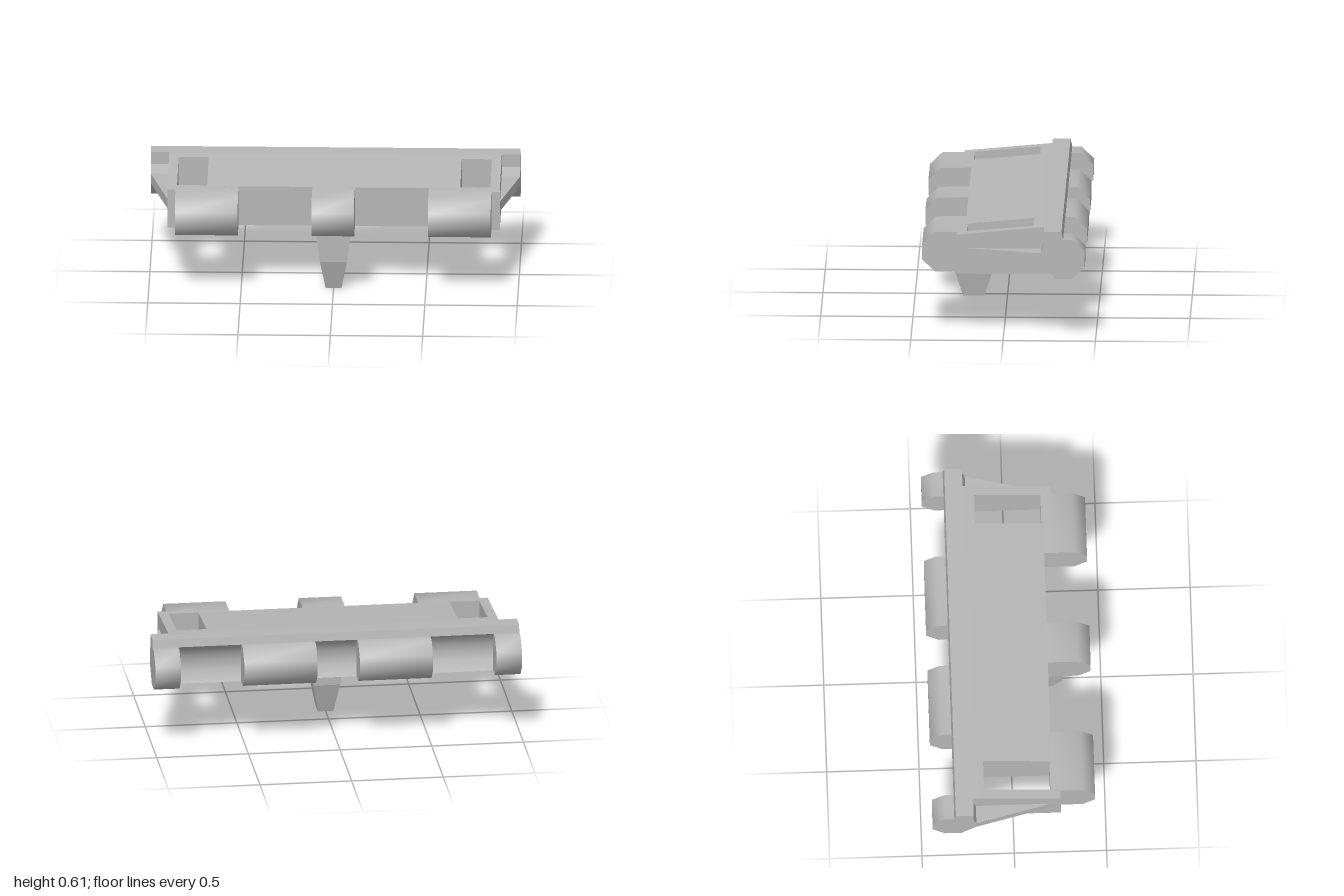
import * as THREE from 'three';
import { toCreasedNormals } from 'three/addons/utils/BufferGeometryUtils.js';

const steel = new THREE.MeshStandardMaterial({ color: 0xb6b6b6 });
steel.name = 'plain grey';

const BOTTOM = 0.347;
const deckTop = (z) => 0.57 + (0.21 - z) * 0.093;
const toShape = (pts) => new THREE.Shape(pts.map(([a, b]) => new THREE.Vector2(a, b)));

// Extrude a [z, y] side profile from x0 to x1
function acrossX(pts, x0, x1, crease = 0.05) {
  const geo = new THREE.ExtrudeGeometry(toShape(pts), { depth: x1 - x0, bevelEnabled: false });
  geo.rotateY(-Math.PI / 2).translate(x1, 0, 0);
  return toCreasedNormals(geo, crease);
}

// Extrude an [x, z] plan outline from y0 to y1
function upY(pts, y0, y1) {
  const geo = new THREE.ExtrudeGeometry(toShape(pts.map(([x, z]) => [x, -z])),
    { depth: y1 - y0, bevelEnabled: false });
  return geo.rotateX(-Math.PI / 2).translate(0, y0, 0);
}

export function createModel() {
  const model = new THREE.Group();
  model.name = 'trackLink';
  const add = (name, geo) => {
    const mesh = new THREE.Mesh(geo, steel);
    mesh.name = name;
    model.add(mesh);
  };

  // Deck with a window near each end and a gently sloping top
  const half = [[0, 0.21], [0.855, 0.21], [0.855, 0.255], [0.9, 0.255], [0.9, -0.16], [0, -0.16]];
  const outline = [...half.slice(1, 5),
    ...half.slice(1, 5).reverse().map(([x, z]) => [-x, z])];
  const plan = toShape(outline.map(([x, z]) => [x, -z]));
  for (const s of [-1, 1]) {
    const hole = [[0.685, 0.2], [0.848, 0.2], [0.848, -0.159], [0.685, -0.159]];
    plan.holes.push(new THREE.Path(hole.map(([x, z]) => new THREE.Vector2(s * x, -z))));
  }
  let deck = new THREE.ExtrudeGeometry(plan, { depth: 0.2, bevelEnabled: false });
  deck.rotateX(-Math.PI / 2).translate(0, BOTTOM, 0);
  const p = deck.attributes.position;
  for (let i = 0; i < p.count; i++) {
    if (p.getY(i) > BOTTOM + 0.1) p.setY(i, deckTop(p.getZ(i)));
  }
  deck.computeVertexNormals();
  add('deck', deck);

  // Rear bar: raised ridge over a hollow that takes the next link's lugs
  add('rearBar', acrossX([
    [-0.16, BOTTOM], [-0.16, deckTop(-0.16)], [-0.22, 0.61], [-0.316, 0.61], [-0.325, 0.566],
    [-0.295, 0.54], [-0.275, 0.5], [-0.268, 0.457], [-0.275, 0.41], [-0.3, BOTTOM],
  ], -0.9, 0.9, 0.7));

  // Rounded hinge lugs, front and rear
  const lug = (s, root, rootTop) => [
    [s * root, BOTTOM], [s * 0.375, BOTTOM], [s * 0.442, 0.415], [s * 0.442, 0.5],
    [s * 0.375, 0.566], [s * root, rootTop],
  ];
  for (const [a, b] of [[-0.855, -0.515], [-0.115, 0.115], [0.515, 0.855]]) {
    add('frontLug', acrossX(lug(1, 0.205, 0.57), a, b, 0.9));
  }
  for (const [a, b] of [[-1, -0.86], [-0.515, -0.115], [0.115, 0.515], [0.86, 1]]) {
    add('rearLug', acrossX(lug(-1, 0.29, 0.566), a, b, 0.9));
  }

  // End blocks and the tapered ribs that brace them
  const block = [
    [-0.22, 0.61], [-0.316, 0.61], [-0.325, 0.566], [-0.325, BOTTOM], [-0.285, BOTTOM],
    [-0.205, 0.435], [-0.205, 0.49], [-0.22, 0.54],
  ];
  for (const s of [-1, 1]) {
    add('endBlock', acrossX(block, s > 0 ? 0.9 : -1, s > 0 ? 1 : -0.9));
    add('sideRib', upY([[s * 0.89, 0.2], [s * 0.9, 0.2], [s * 1, -0.205], [s * 0.89, -0.205]], 0.435, 0.49));
  }

  // Guide horn: a box narrowed at each level
  const levels = [
    { y: 0, x: 0.043, z0: 0.125, z1: 0.24 },
    { y: 0.168, x: 0.073, z0: 0.073, z1: 0.291 },
    { y: 0.35, x: 0.097, z0: 0.073, z1: 0.291 },
  ];
  const horn = new THREE.BoxGeometry(1, 1, 1, 1, 2, 1).toNonIndexed();
  const h = horn.attributes.position;
  for (let i = 0; i < h.count; i++) {
    const l = levels[Math.round((h.getY(i) + 0.5) * 2)];
    h.setXYZ(i, Math.sign(h.getX(i)) * l.x, l.y, h.getZ(i) > 0 ? l.z1 : l.z0);
  }
  horn.computeVertexNormals();
  add('guideHorn', horn);

  return model;
}
